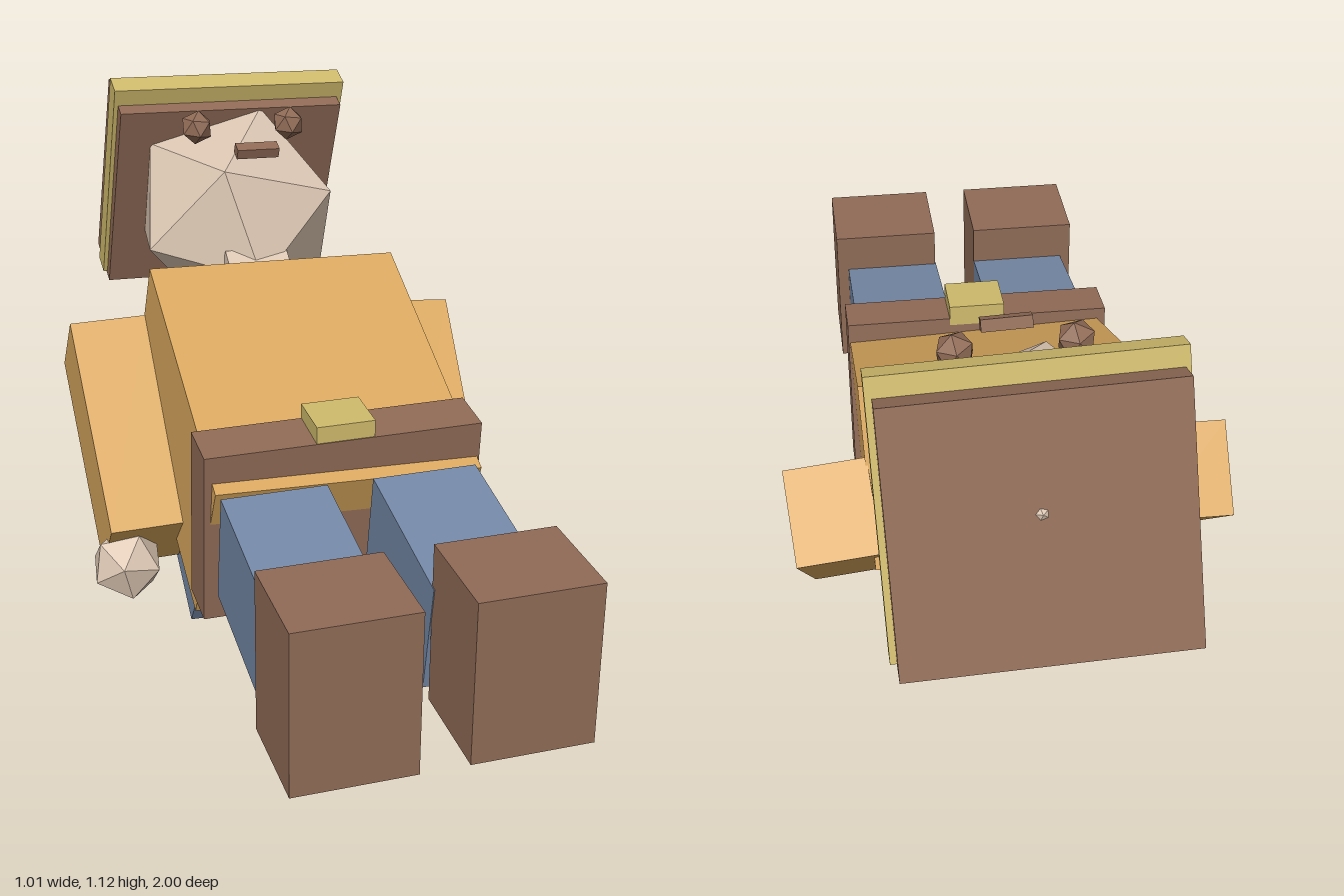
import * as THREE from 'three';

const material = (name, color) => {
  const m = new THREE.MeshStandardMaterial({ color });
  m.name = name;
  m.flatShading = true;
  return m;
};

export function createModel() {
  const model = new THREE.Group();
  model.name = 'recliningFigure';

  const mustard = material('mustard cloth', 0xd9a75e);
  const blue = material('blue cloth', 0x7488a6);
  const brown = material('brown leather', 0x906b56);
  const skin = material('skin', 0xdbc6b2);
  const gold = material('gold trim', 0xcfba6c);

  // Box with a pitch about x followed by a sideways roll about z, in degrees
  const box = (name, mat, size, pos, pitch = 0, roll = 0) => {
    const mesh = new THREE.Mesh(new THREE.BoxGeometry(...size), mat);
    mesh.name = name;
    mesh.position.set(...pos);
    mesh.rotation.set(THREE.MathUtils.degToRad(pitch), 0, THREE.MathUtils.degToRad(roll), 'ZYX');
    model.add(mesh);
    return mesh;
  };

  // Low-poly ball with one corner on its pole, turned about that pole
  const ball = (name, mat, radius, pos, pitch = 0, spin = 0) => {
    const geo = new THREE.IcosahedronGeometry(radius, 0);
    geo.rotateZ(Math.atan(2 / (1 + Math.sqrt(5))));
    geo.rotateY(THREE.MathUtils.degToRad(spin));
    const mesh = new THREE.Mesh(geo, mat);
    mesh.name = name;
    mesh.position.set(...pos);
    mesh.rotation.x = THREE.MathUtils.degToRad(pitch);
    model.add(mesh);
    return mesh;
  };

  // Legs stretched forward, with upright boots
  for (const [side, legX, bootX] of [['right', -0.165, -0.178], ['left', 0.177, 0.192]]) {
    box(side + 'Leg', blue, [0.238, 0.262, 0.385], [legX, 0.34, 0.566], 9.5);
    box(side + 'Boot', brown, [0.264, 0.366, 0.236], [bootX, 0.352, 0.882]);
  }

  // Leaning torso, belt and buckle
  box('torso', mustard, [0.61, 0.41, 0.712], [0.012, 0.443, -0.027], 23, -2);
  box('belt', brown, [0.633, 0.418, 0.118], [0.008, 0.377, 0.28], 5);
  box('buckle', gold, [0.133, 0.05, 0.119], [0.009, 0.597, 0.296], 2);

  // Flat cape on the back
  box('cape', blue, [0.556, 0.09, 0.655], [0.001, 0.218, -0.172], 31, -2);

  // Arms and hands
  box('leftArm', mustard, [0.184, 0.555, 0.212], [0.382, 0.338, -0.2], -46.9, -6);
  box('rightArm', mustard, [0.185, 0.55, 0.21], [-0.376, 0.383, -0.188], -49.8, 0.5);
  ball('leftHand', skin, 0.086, [0.41, 0.117, 0.033], -45, 100);
  ball('rightHand', skin, 0.088, [-0.425, 0.173, 0.04], -45, 110);

  // Neck and head
  box('neck', skin, [0.157, 0.16, 0.2], [0.016, 0.632, -0.37], 30, -2);
  const head = ball('head', skin, 0.285, [0.026, 0.78, -0.64], -70, 108.6);
  head.scale.z = 0.94;

  // Eyes and mouth
  ball('rightEye', brown, 0.042, [-0.089, 1.033, -0.567], -70, 100);
  ball('leftEye', brown, 0.042, [0.149, 1.025, -0.567], -70, 100);
  box('mouth', brown, [0.106, 0.026, 0.031], [0.031, 1.001, -0.438], 20, -2);

  // Flat square hat with a gold band around it
  box('hat', brown, [0.582, 0.536, 0.164], [0.023, 0.815, -0.834], 18.7, -2);
  box('hatBand', gold, [0.606, 0.571, 0.062], [0.025, 0.834, -0.81], 17.8, -2);

  return model;
}
